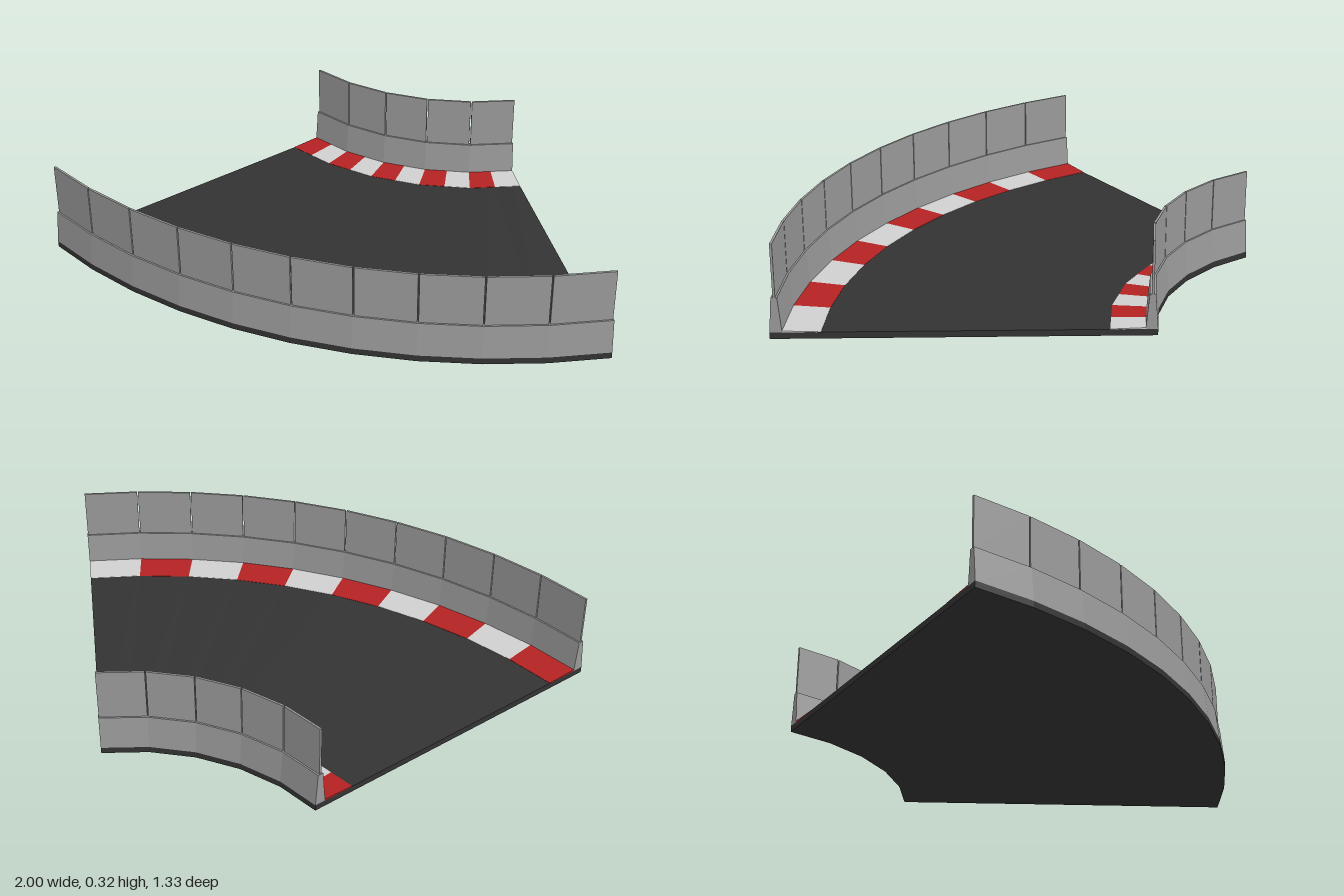
import * as THREE from 'three';

const RAD = Math.PI / 180;
const CENTER_Z = -1.333; // centre of the bend
const INNER = 12, OUTER = 6; // facet angles of the two edges, in degrees
const ROAD_Y = 0.022;

// Point at a given angle on a faceted arc whose corners lie on radius r
function arcPoint(r, y, step, deg) {
  const k = Math.floor((deg + 30) / step + 1e-6);
  const mid = -30 + (k + 0.5) * step;
  const rr = r * Math.cos(step / 2 * RAD) / Math.cos((deg - mid) * RAD);
  return [rr * Math.sin(deg * RAD), y, rr * Math.cos(deg * RAD) + CENTER_Z];
}

// Sweeps a convex counter-clockwise profile of [radius, y, facetStep] round the bend
function sweep(profile, from, to, stride) {
  const pos = [];
  const quad = (a, b, c, d) => pos.push(...a, ...b, ...c, ...a, ...c, ...d);
  const section = (deg) => profile.map(([r, y, step]) => arcPoint(r, y, step, deg));
  for (let a = from; a < to; a += stride) {
    const s = section(a), e = section(a + stride);
    s.forEach((p, i) => {
      const j = (i + 1) % s.length;
      quad(p, e[i], e[j], s[j]);
    });
  }
  const s = section(from), e = section(to);
  quad(s[0], s[1], s[2], s[3]);
  quad(e[3], e[2], e[1], e[0]);
  const geo = new THREE.BufferGeometry();
  geo.setAttribute('position', new THREE.Float32BufferAttribute(pos, 3));
  geo.computeVertexNormals();
  return geo;
}

export function createModel() {
  const group = new THREE.Group();
  const material = (name, color) => {
    const m = new THREE.MeshStandardMaterial({ color });
    m.name = name;
    return m;
  };
  const asphalt = material('asphalt', 0x333333);
  const concrete = material('concrete', 0x999999);
  const red = material('kerb red', 0xb42222);
  const white = material('kerb white', 0xcfcfcf);

  const add = (name, geo, mat, parent = group) => {
    const mesh = new THREE.Mesh(geo, mat);
    mesh.name = name;
    parent.add(mesh);
    return mesh;
  };

  // Road slab
  add('road', sweep([
    [0.77, 0, INNER], [2, 0, OUTER], [2, ROAD_Y, OUTER], [0.77, ROAD_Y, INNER],
  ], -30, 30, 6), asphalt);

  // Each side: tapered wall, upright panels and sloping kerb
  const sides = [
    { name: 'inner', r: 0.79, step: INNER, kerb: 0.923 },
    { name: 'outer', r: 1.98, step: OUTER, kerb: 1.838 },
  ];
  for (const { name, r, step, kerb } of sides) {
    add(name + 'Wall', sweep([
      [r - 0.02, ROAD_Y, step], [r + 0.02, ROAD_Y, step],
      [r + 0.01, 0.14, step], [r - 0.01, 0.14, step],
    ], -30, 30, step), concrete);

    // Flat panels with narrow gaps between them
    const fence = new THREE.Group();
    fence.name = name + 'Fence';
    group.add(fence);
    const width = 2 * r * Math.sin(step / 2 * RAD) - 0.004;
    for (let a = -30 + step / 2; a < 30; a += step) {
      const panel = add('fencePanel', new THREE.BoxGeometry(width, 0.182, 0.008), concrete, fence);
      const d = r * Math.cos(step / 2 * RAD);
      panel.position.set(d * Math.sin(a * RAD), 0.23, d * Math.cos(a * RAD) + CENTER_Z);
      panel.rotation.y = a * RAD;
    }

    // Alternating kerb blocks, rising slightly towards the wall
    const kerbs = new THREE.Group();
    kerbs.name = name + 'Kerb';
    group.add(kerbs);
    const low = ROAD_Y + 0.001, high = ROAD_Y + 0.005;
    const [r0, y0, r1, y1] = name === 'inner'
      ? [r + 0.018, high, kerb, low] : [kerb, low, r - 0.018, high];
    for (let i = 0; i < 10; i++) {
      const a = -30 + i * 6;
      add('kerbBlock', sweep([
        [r0, ROAD_Y - 0.001, step], [r1, ROAD_Y - 0.001, step], [r1, y1, step], [r0, y0, step],
      ], a, a + 6, 6), i % 2 ? white : red, kerbs);
    }
  }
  return group;
}
